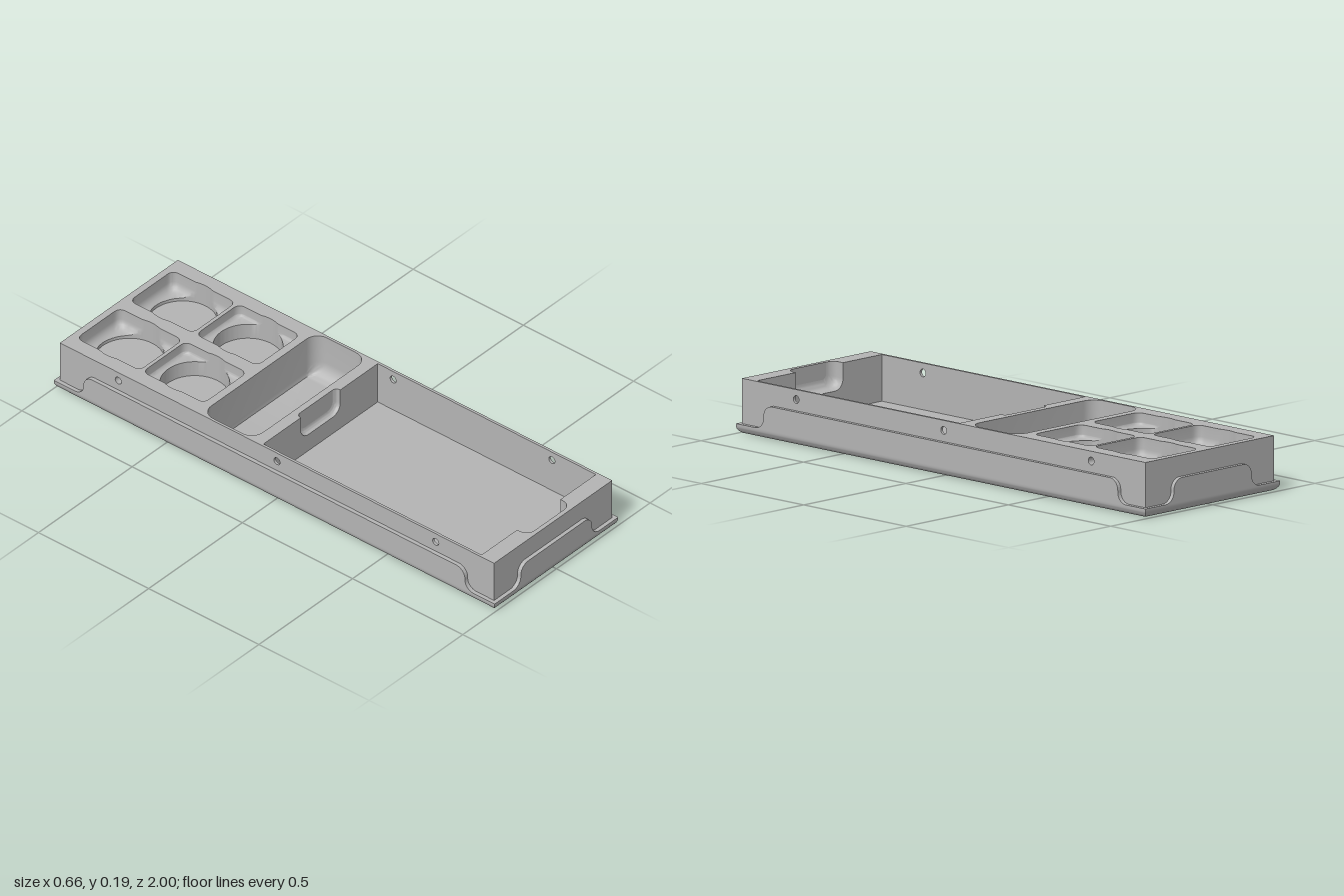
import * as THREE from 'three';
import { toCreasedNormals } from 'three/addons/utils/BufferGeometryUtils.js';

const grey = new THREE.MeshStandardMaterial({ color: 0xb4b4b4, side: THREE.DoubleSide });
grey.name = 'plain grey';

const TOP = 0.195, LIP = 0.035, FLOOR = 0.03;
const BX = 0.315, BZ = 0.985;            // body half width and half length
const LX = 0.33, LZ = 1;                 // lip half width and half length
const IX = 0.305, Z0 = -0.07, Z1 = 0.92; // main compartment
const HOLE_Y = 0.16, HOLE_R = 0.014;
const V2 = (x, y) => new THREE.Vector2(x, y);

// Surface through loops of equal length; optionally closed around and capped at the last loop.
function loft(loops, { closed = true, cap = true } = {}) {
  const n = loops[0].length, pos = loops.flat().flatMap((p) => [p.x, p.y, p.z]), idx = [];
  for (let i = 0; i < loops.length - 1; i++) {
    for (let j = 0; j < (closed ? n : n - 1); j++) {
      const a = i * n + j, b = i * n + (j + 1) % n;
      idx.push(a, b, a + n, b, b + n, a + n);
    }
  }
  if (cap) {
    const last = (loops.length - 1) * n, c = new THREE.Vector3();
    loops.at(-1).forEach((p) => c.addScaledVector(p, 1 / n));
    pos.push(c.x, c.y, c.z);
    for (let j = 0; j < n; j++) idx.push(last + j, last + (j + 1) % n, loops.length * n);
  }
  const g = new THREE.BufferGeometry();
  g.setAttribute('position', new THREE.Float32BufferAttribute(pos, 3));
  g.setIndex(idx);
  return toCreasedNormals(g, 0.6);
}

// Rounded rectangle outline in plan.
function roundRect(cx, cz, hx, hz, r, seg = 8) {
  const pts = [];
  [[1, 1], [-1, 1], [-1, -1], [1, -1]].forEach(([sx, sz], q) => {
    for (let i = 0; i <= seg; i++) {
      const a = (q + i / seg) * Math.PI / 2;
      pts.push(V2(cx + sx * (hx - r) + r * Math.cos(a), cz + sz * (hz - r) + r * Math.sin(a)));
    }
  });
  return pts;
}

// Outline of a rounded rectangle joined with a circle, sampled by angle.
function cupOutline(cx, cz, hx, hz, r, circle, n = 112) {
  const inside = (x, z) => {
    if (Math.hypot(x, z) < circle) return true;
    const dx = Math.abs(x) - hx + r, dz = Math.abs(z) - hz + r;
    return Math.hypot(Math.max(dx, 0), Math.max(dz, 0)) + Math.min(Math.max(dx, dz), 0) < r;
  };
  return Array.from({ length: n }, (_, i) => {
    const a = i / n * Math.PI * 2, c = Math.cos(a), s = Math.sin(a);
    let lo = 0, hi = 0.4;
    for (let k = 0; k < 20; k++) {
      const m = (lo + hi) / 2;
      if (inside(c * m, s * m)) lo = m; else hi = m;
    }
    return V2(cx + c * lo, cz + s * lo);
  });
}

const atHeight = (pts, y) => pts.map((p) => new THREE.Vector3(p.x, y, p.y));
const rectPts = (x0, y0, x1, y1) => [V2(x0, y0), V2(x1, y0), V2(x1, y1), V2(x0, y1)];

function shapeWith(outline, holes = []) {
  const s = new THREE.Shape(outline);
  s.holes = holes.map((h) => new THREE.Path(h));
  return s;
}
const circlePts = (x, y, r) => Array.from({ length: 20 }, (_, i) =>
  V2(x + r * Math.cos(i * Math.PI / 10), y + r * Math.sin(i * Math.PI / 10)));

// U-shaped outline of a finger notch, open at the top.
function uOutline(w, bottom, r) {
  const pts = [V2(-w, TOP)];
  for (let i = 0; i <= 8; i++) {
    const a = Math.PI + i / 8 * Math.PI / 2;
    pts.push(V2(-w + r + r * Math.cos(a), bottom + r + r * Math.sin(a)));
  }
  return [...pts, ...pts.map((p) => V2(-p.x, p.y)).reverse()];
}

// Successive sections of a notch, shrinking into a rounded back.
function notchSections({ z, dir, w, depth, fillet }) {
  const out = [{ z, pts: uOutline(w, 0.1, 0.04), w }];
  for (let i = 0; i <= 7; i++) {
    const a = i / 7 * Math.PI / 2, inset = fillet * (1 - Math.cos(a));
    out.push({
      z: z + dir * (depth - fillet + fillet * Math.sin(a)),
      pts: uOutline(w - inset, 0.1 + inset, 0.04 - inset * 0.6), w: w - inset,
    });
  }
  return out;
}

// Raised skirt outline with an S-curve at each end.
function skirtShape(mid) {
  const r = 0.04, s = new THREE.Shape();
  s.moveTo(-mid - r, LIP);
  s.absarc(-mid - r, LIP + r, r, -Math.PI / 2, 0, false);
  s.absarc(-mid + r, 0.12 - r, r, Math.PI, Math.PI / 2, true);
  s.absarc(mid - r, 0.12 - r, r, Math.PI / 2, 0, true);
  s.absarc(mid + r, LIP + r, r, Math.PI, Math.PI * 1.5, false);
  return s;
}

export function createModel() {
  const model = new THREE.Group();
  const add = (name, geometry) => {
    const m = new THREE.Mesh(geometry, grey);
    m.name = name;
    model.add(m);
    return m;
  };
  const flat = (shape) => new THREE.ShapeGeometry(shape, 12);

  // Base with rounded lower edge and a narrow lip
  const rect = (d, y) => atHeight(rectPts(-LX + d, -LZ + d, LX - d, LZ - d), y);
  const base = [rect(LX - BX, LIP), rect(0, LIP)];
  for (let i = 0; i <= 8; i++) {
    const a = i / 8 * Math.PI / 2;
    base.push(rect(0.03 * (1 - Math.cos(a)), 0.03 * (1 - Math.sin(a))));
  }
  add('base', loft(base));

  // Skirts on all four sides
  const extrude = (mid) => new THREE.ExtrudeGeometry(skirtShape(mid),
    { depth: LX - BX, bevelEnabled: false, curveSegments: 10 });
  add('frontSkirt', toCreasedNormals(extrude(0.19).translate(0, 0, BZ), 0.6));
  add('backSkirt', toCreasedNormals(extrude(0.19).translate(0, 0, -LZ), 0.6));
  add('leftSkirt', toCreasedNormals(extrude(0.865).rotateY(-Math.PI / 2).translate(LX, 0, 0), 0.6));
  add('rightSkirt', toCreasedNormals(extrude(0.865).rotateY(-Math.PI / 2).translate(-BX, 0, 0), 0.6));

  // Outer and inner side walls with screw holes
  const holes = (zs) => zs.map((z) => circlePts(z, HOLE_Y, HOLE_R));
  const outer = shapeWith(rectPts(-BZ, LIP, BZ, TOP), holes([0.72, 0, -0.72]));
  const inner = shapeWith(rectPts(Z0, FLOOR, Z1, TOP), holes([0.72, 0]));
  for (const s of [-1, 1]) {
    const side = s > 0 ? 'left' : 'right';
    add(side + 'OuterWall', flat(outer).rotateY(-Math.PI / 2).translate(s * BX, 0, 0));
    add(side + 'InnerWall', flat(inner).rotateY(-Math.PI / 2).translate(s * IX, 0, 0));
    for (const z of [0.72, 0, -0.72]) {
      const len = z < 0 ? 0.03 : BX - IX;
      const bore = new THREE.CylinderGeometry(HOLE_R, HOLE_R, len, 20, 1, true).rotateZ(Math.PI / 2);
      add(side + 'ScrewHole', bore.translate(s * (BX - len / 2), HOLE_Y, z));
      if (z < 0) {
        add(side + 'ScrewHoleEnd', new THREE.CircleGeometry(HOLE_R, 20).rotateY(Math.PI / 2)
          .translate(s * (BX - len), HOLE_Y, z));
      }
    }
    add(s > 0 ? 'frontOuterWall' : 'backOuterWall',
      flat(shapeWith(rectPts(-BX, LIP, BX, TOP))).translate(0, 0, s * BZ));
  }

  // Main compartment floor and end walls with finger notches
  add('compartmentFloor', flat(shapeWith(rectPts(-IX, Z0, IX, Z1))).rotateX(Math.PI / 2).translate(0, FLOOR, 0));
  const notches = [
    { name: 'dividerNotch', z: Z0, dir: -1, w: 0.105, depth: 0.02, fillet: 0.018 },
    { name: 'frontNotch', z: Z1, dir: 1, w: 0.115, depth: 0.048, fillet: 0.035 },
  ];
  const rims = notches.map((n) => {
    const secs = notchSections(n), last = secs.at(-1);
    add(n.name, loft(secs.map((s) => s.pts.map((p) => new THREE.Vector3(p.x, p.y, s.z))), { closed: false, cap: false }));
    add(n.name + 'Back', flat(shapeWith(last.pts)).translate(0, 0, last.z));
    const wall = [V2(-IX, FLOOR), V2(-IX, TOP), ...secs[0].pts, V2(IX, TOP), V2(IX, FLOOR)];
    add(n.name + 'Wall', flat(shapeWith(wall)).translate(0, 0, n.z));
    return [...secs.map((s) => V2(-s.w, s.z)), ...secs.map((s) => V2(s.w, s.z)).reverse()];
  });
  const deckHoles = [[V2(-IX, Z0), ...rims[0], V2(IX, Z0), V2(IX, Z1), ...rims[1].reverse(), V2(-IX, Z1)]];

  // Cross pocket with scooped ends
  const scoop = 0.055;
  const crossLoop = (inset) => roundRect(0, -0.2325, IX - inset, 0.1175, 0.05 * (1 - inset / scoop) + 0.001);
  const cross = [atHeight(crossLoop(0), TOP)];
  for (let i = 0; i <= 8; i++) {
    const a = i / 8 * Math.PI / 2;
    cross.push(atHeight(crossLoop(scoop * (1 - Math.cos(a))), FLOOR + scoop * (1 - Math.sin(a))));
  }
  add('crossPocket', loft(cross));
  deckHoles.push(crossLoop(0));

  // Four cup pockets: filleted square recess with a round well
  const cups = [
    { name: 'backCupPocket', z: -0.816, hz: 0.143, ledge: 0.12, floor: 0.108, fillet: 0.035 },
    { name: 'frontCupPocket', z: -0.52, hz: 0.139, ledge: 0.15, floor: 0.09, fillet: 0.012 },
  ];
  for (const c of cups) {
    for (const x of [-0.142, 0.142]) {
      const ring = (inset) => cupOutline(x, c.z, 0.115 - inset, c.hz - inset, 0.025, 0.121);
      const loops = [atHeight(ring(0), TOP)];
      for (let i = 0; i <= 6; i++) {
        const a = i / 6 * Math.PI / 2;
        loops.push(atHeight(ring(c.fillet * (1 - Math.cos(a))), c.ledge + c.fillet * (1 - Math.sin(a))));
      }
      const well = cupOutline(x, c.z, 0.05, 0.05, 0.02, 0.121);
      loops.push(atHeight(well, c.ledge), atHeight(well, c.floor));
      add(c.name, loft(loops));
      deckHoles.push(ring(0));
    }
  }

  // Top deck
  add('deck', flat(shapeWith(rectPts(-BX, -BZ, BX, BZ), deckHoles)).rotateX(Math.PI / 2).translate(0, TOP, 0));
  return model;
}
